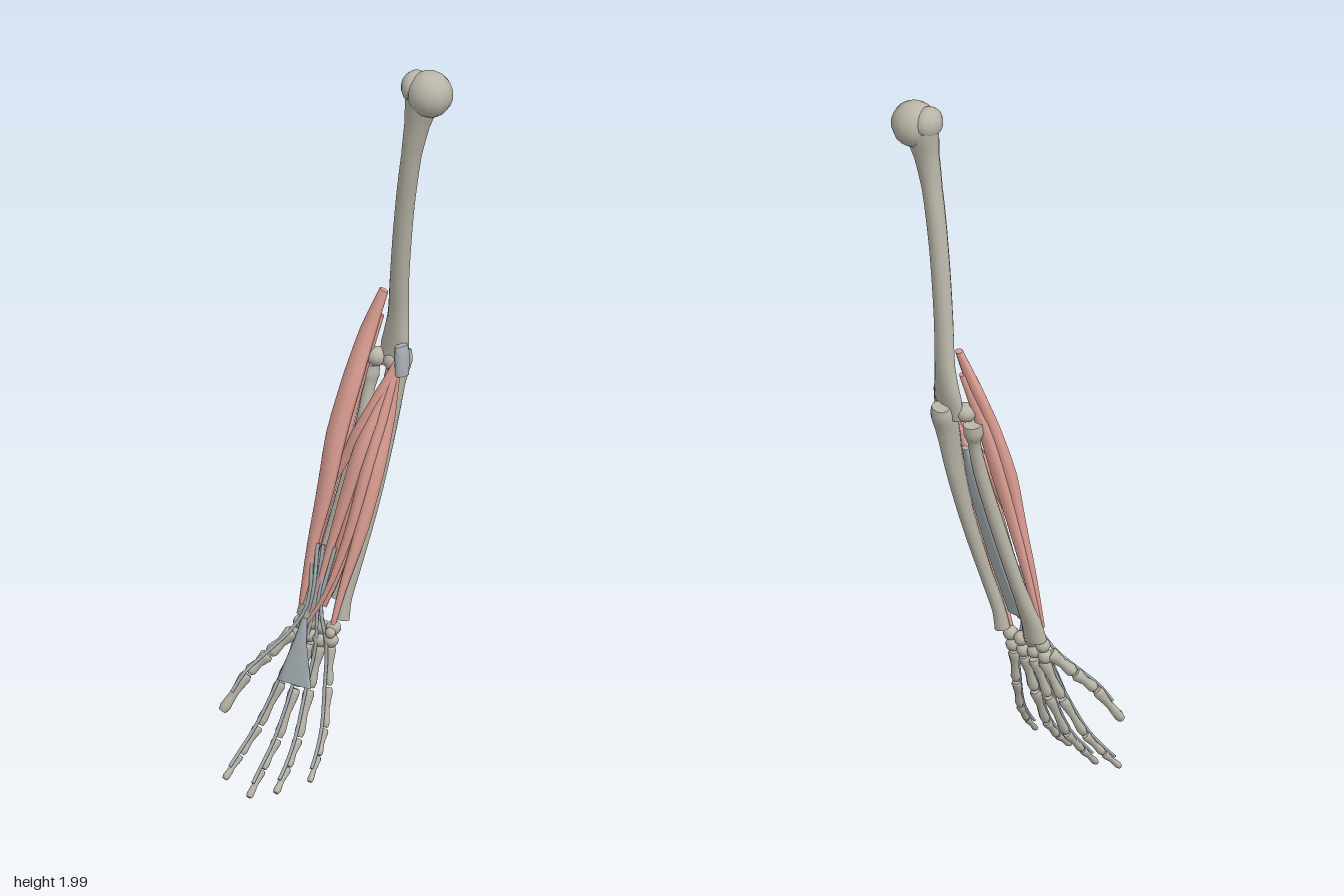
import * as THREE from 'three';

const bone = new THREE.MeshStandardMaterial({ color: 0xb9b5a8 });
const tendon = new THREE.MeshStandardMaterial({ color: 0xaab3b8 });
const muscle = new THREE.MeshStandardMaterial({ color: 0xe2a297 });

// Sweeps an elliptical section along points [x, y, z, halfWidth, halfDepth], with capped ends.
function loft(name, material, pts, sides = 10, steps = 3, side = [1, 0, 0.3]) {
  const curve = new THREE.CatmullRomCurve3(pts.map(p => new THREE.Vector3(p[0], p[1], p[2])));
  const n = (pts.length - 1) * steps, pos = [], index = [], rings = [];
  for (let i = 0; i <= n; i++) {
    const t = i / n, k = Math.min(Math.floor(i / steps), pts.length - 2), f = i / steps - k;
    const radius = c => THREE.MathUtils.lerp(pts[k][c] ?? pts[k][3], pts[k + 1][c] ?? pts[k + 1][3], f);
    const dir = curve.getTangent(t), c = curve.getPoint(t);
    const u = new THREE.Vector3(...side).addScaledVector(dir, -dir.dot(new THREE.Vector3(...side))).normalize();
    const v = dir.clone().cross(u), ring = [];
    for (let j = 0; j < sides; j++) {
      const a = j / sides * Math.PI * 2;
      ring.push(c.clone().addScaledVector(u, Math.cos(a) * radius(3)).addScaledVector(v, Math.sin(a) * radius(4)));
    }
    rings.push(ring);
    ring.forEach(p => pos.push(p.x, p.y, p.z));
  }
  for (let i = 0; i < n; i++) for (let j = 0; j < sides; j++) {
    const a = i * sides + j, b = i * sides + (j + 1) % sides;
    index.push(a, b, a + sides, b, b + sides, a + sides);
  }
  // end caps with their own vertices, so the rim stays sharp
  [[rings[0], true], [rings[n], false]].forEach(([ring, start]) => {
    const base = pos.length / 3;
    ring.forEach(p => pos.push(p.x, p.y, p.z));
    for (let j = 1; j < sides - 1; j++) {
      if (start) index.push(base, base + j + 1, base + j);
      else index.push(base, base + j, base + j + 1);
    }
  });
  const g = new THREE.BufferGeometry();
  g.setAttribute('position', new THREE.Float32BufferAttribute(pos, 3));
  g.setIndex(index);
  g.computeVertexNormals();
  const mesh = new THREE.Mesh(g, material);
  mesh.name = name;
  return mesh;
}

function ball(name, material, [x, y, z], [rx, ry, rz]) {
  const mesh = new THREE.Mesh(new THREE.SphereGeometry(1, 12, 9), material);
  mesh.name = name;
  mesh.position.set(x, y, z);
  mesh.scale.set(rx, ry, rz);
  return mesh;
}

// A finger bone: flared ends and a narrow waist between two joints.
function fingerBone(name, from, to, r) {
  const a = new THREE.Vector3(...from), b = new THREE.Vector3(...to);
  const rows = [[0.03, 0.85], [0.13, 1.1], [0.5, 0.7], [0.85, 0.95], [0.97, 0.7]];
  return loft(name, bone, rows.map(([t, s]) => [...a.clone().lerp(b, t).toArray(), r * s, r * s * 0.9]), 8, 2);
}

export function createModel() {
  const model = new THREE.Group();
  const part = name => {
    const g = new THREE.Group();
    g.name = name;
    model.add(g);
    return g;
  };

  // Upper arm
  const upper = part('upperArm');
  upper.add(
    ball('humerusHead', bone, [0.204, 1.937, -0.128], [0.063, 0.063, 0.06]),
    ball('humerusTubercle', bone, [0.163, 1.95, -0.125], [0.037, 0.044, 0.045]),
    loft('humerusShaft', bone, [
      [0.185, 1.93, -0.126, 0.055, 0.045], [0.17, 1.85, -0.121, 0.037, 0.032], [0.152, 1.76, -0.122, 0.028, 0.027],
      [0.122, 1.6, -0.135, 0.027, 0.025], [0.093, 1.4, -0.155, 0.028, 0.024], [0.08, 1.28, -0.168, 0.033, 0.023],
      [0.07, 1.19, -0.168, 0.05, 0.023], [0.062, 1.135, -0.163, 0.045, 0.022]], 12),
    ball('capitulum', bone, [0.022, 1.155, -0.155], [0.028, 0.026, 0.03]),
    ball('trochlea', bone, [0.075, 1.15, -0.16], [0.032, 0.028, 0.028]),
    loft('medialEpicondyle', tendon, [
      [0.112, 1.212, -0.132, 0.013, 0.02], [0.115, 1.19, -0.133, 0.017, 0.024], [0.114, 1.13, -0.132, 0.015, 0.022]], 8, 1));

  // Forearm bones
  const forearm = part('forearmBones');
  forearm.add(
    loft('ulna', bone, [
      [0.072, 1.175, -0.2, 0.028, 0.02], [0.072, 1.15, -0.193, 0.033, 0.029], [0.068, 1.1, -0.172, 0.027, 0.034],
      [0.064, 1.0, -0.152, 0.02, 0.029], [0.054, 0.82, -0.105, 0.018, 0.022], [0.032, 0.63, -0.05, 0.016, 0.018],
      [0.012, 0.52, -0.022, 0.017, 0.018], [0.006, 0.465, -0.014, 0.021, 0.021]]),
    loft('radius', bone, [
      [0, 1.128, -0.157, 0.026], [0, 1.1, -0.153, 0.027], [0.003, 1.07, -0.146, 0.017], [-0.001, 0.98, -0.125, 0.019],
      [-0.03, 0.8, -0.085, 0.02], [-0.062, 0.62, -0.042, 0.021, 0.019], [-0.083, 0.51, -0.012, 0.033, 0.023],
      [-0.088, 0.455, 0, 0.038, 0.026]]),
    loft('interosseousSheet', tendon, [
      [0.034, 1.04, -0.14, 0.012, 0.008], [0.026, 0.9, -0.108, 0.025, 0.008], [-0.002, 0.7, -0.062, 0.03, 0.007],
      [-0.035, 0.52, -0.017, 0.03, 0.006]], 8));

  // Forearm muscles
  const muscles = part('forearmMuscles');
  const origin = [0.108, 1.175, -0.128, 0.009, 0.008];
  Object.entries({
    brachioradialis: [[0.034, 1.338, -0.17, 0.016, 0.01], [0.002, 1.225, -0.143, 0.028, 0.018],
      [-0.018, 1.1, -0.1, 0.034, 0.022], [-0.042, 0.95, -0.06, 0.033, 0.024], [-0.06, 0.8, -0.036, 0.027, 0.02],
      [-0.085, 0.65, -0.014, 0.017, 0.013], [-0.104, 0.49, 0.008, 0.01, 0.007]],
    radialExtensor: [[0.026, 1.27, -0.165, 0.012, 0.01], [-0.012, 1.12, -0.13, 0.022, 0.018],
      [-0.035, 0.95, -0.085, 0.024, 0.02], [-0.068, 0.74, -0.042, 0.018, 0.015], [-0.105, 0.5, -0.004, 0.008, 0.006]],
    pronatorTeres: [origin, [0.07, 1.08, -0.103, 0.018, 0.014], [0.015, 0.96, -0.073, 0.022, 0.014],
      [-0.04, 0.84, -0.06, 0.01, 0.008]],
    radialFlexor: [origin, [0.075, 1.06, -0.098, 0.017, 0.014], [0.038, 0.93, -0.054, 0.024, 0.016],
      [0.006, 0.8, -0.033, 0.021, 0.014], [-0.035, 0.63, -0.008, 0.011, 0.009], [-0.072, 0.46, 0.018, 0.006, 0.005]],
    palmarFlexor: [origin, [0.084, 1.02, -0.088, 0.015, 0.014], [0.058, 0.87, -0.047, 0.018, 0.014],
      [0.024, 0.7, -0.018, 0.014, 0.011], [-0.03, 0.53, 0.01, 0.007, 0.006], [-0.078, 0.445, 0.024, 0.006, 0.004]],
    ulnarFlexor: [origin, [0.089, 1.02, -0.108, 0.015, 0.021], [0.077, 0.88, -0.073, 0.018, 0.023],
      [0.052, 0.72, -0.04, 0.016, 0.02], [0.014, 0.55, -0.004, 0.01, 0.011], [-0.006, 0.435, 0.018, 0.006, 0.006]],
    deepFingerFlexor: [[0.085, 1.14, -0.137, 0.014, 0.01], [0.052, 0.96, -0.088, 0.031, 0.022],
      [0.016, 0.76, -0.048, 0.036, 0.02], [-0.016, 0.58, -0.012, 0.022, 0.012], [-0.04, 0.5, 0.004, 0.016, 0.007]]
  }).forEach(([name, pts]) => muscles.add(loft(name, muscle, pts, 8, 3, [1, 0, 0.5])));

  // Wrist bones in two rows
  const wrist = part('wristBones');
  for (let row = 0; row < 2; row++) for (let i = 0; i < 4; i++) {
    wrist.add(ball('carpalBone', bone,
      [-0.108 + i * 0.034 + row * -0.004, 0.438 - row * 0.034 + (i % 2) * 0.006, 0.006 + row * 0.006],
      [0.02, 0.02, 0.02]));
  }
  wrist.add(ball('pisiform', bone, [-0.004, 0.435, 0.024], [0.014, 0.015, 0.013]));

  // Fingers: wrist end, knuckles and tip, followed by the bone radius
  const fingers = {
    thumb: [[-0.12, 0.415, 0.018], [-0.172, 0.352, 0.06], [-0.213, 0.302, 0.096], [-0.258, 0.2, 0.152]],
    indexFinger: [[-0.105, 0.395, 0.01], [-0.143, 0.278, 0.042], [-0.18, 0.16, 0.092], [-0.205, 0.09, 0.142], [-0.222, 0.033, 0.193]],
    middleFinger: [[-0.077, 0.39, 0.01], [-0.099, 0.27, 0.043], [-0.117, 0.14, 0.1], [-0.127, 0.07, 0.157], [-0.133, 0.008, 0.214]],
    ringFinger: [[-0.046, 0.39, 0.01], [-0.056, 0.275, 0.043], [-0.053, 0.155, 0.1], [-0.051, 0.092, 0.152], [-0.05, 0.038, 0.212]],
    littleFinger: [[-0.014, 0.395, 0.008], [-0.004, 0.29, 0.034], [0.014, 0.19, 0.077], [0.024, 0.13, 0.122], [0.031, 0.075, 0.174]]
  };
  Object.entries(fingers).forEach(([name, joints], f) => {
    const finger = part(name);
    for (let i = 0; i < joints.length - 1; i++) {
      const r = (name === 'littleFinger' ? 0.0145 : 0.017) * (1 - i * 0.12) + (name === 'thumb' ? 0.003 : 0);
      finger.add(fingerBone(i ? 'phalanx' : 'metacarpal', joints[i], joints[i + 1], r));
    }
    // Flexor tendon along the palm side
    const run = joints.map(([x, y, z], i) => [x, y + 0.006, z + 0.019 - i * 0.002, 0.006, 0.004]);
    finger.add(loft('flexorTendon', tendon, [
      [-0.085 + f * 0.018, 0.66, -0.012, 0.006, 0.005], [-0.08 + f * 0.01, 0.5, 0.014, 0.006, 0.005],
      ...run.slice(0, -1),
      run.at(-1).map((v, c) => c < 3 ? (v + run.at(-2)[c]) / 2 : v)], 6, 3));
  });

  // Triangular sheet over the palm
  part('palm').add(loft('palmSheet', tendon, [
    [-0.083, 0.46, 0.026, 0.008, 0.004], [-0.086, 0.4, 0.04, 0.019, 0.004], [-0.09, 0.285, 0.064, 0.053, 0.003]],
    8, 2, [1, 0, 0]));

  return model;
}
